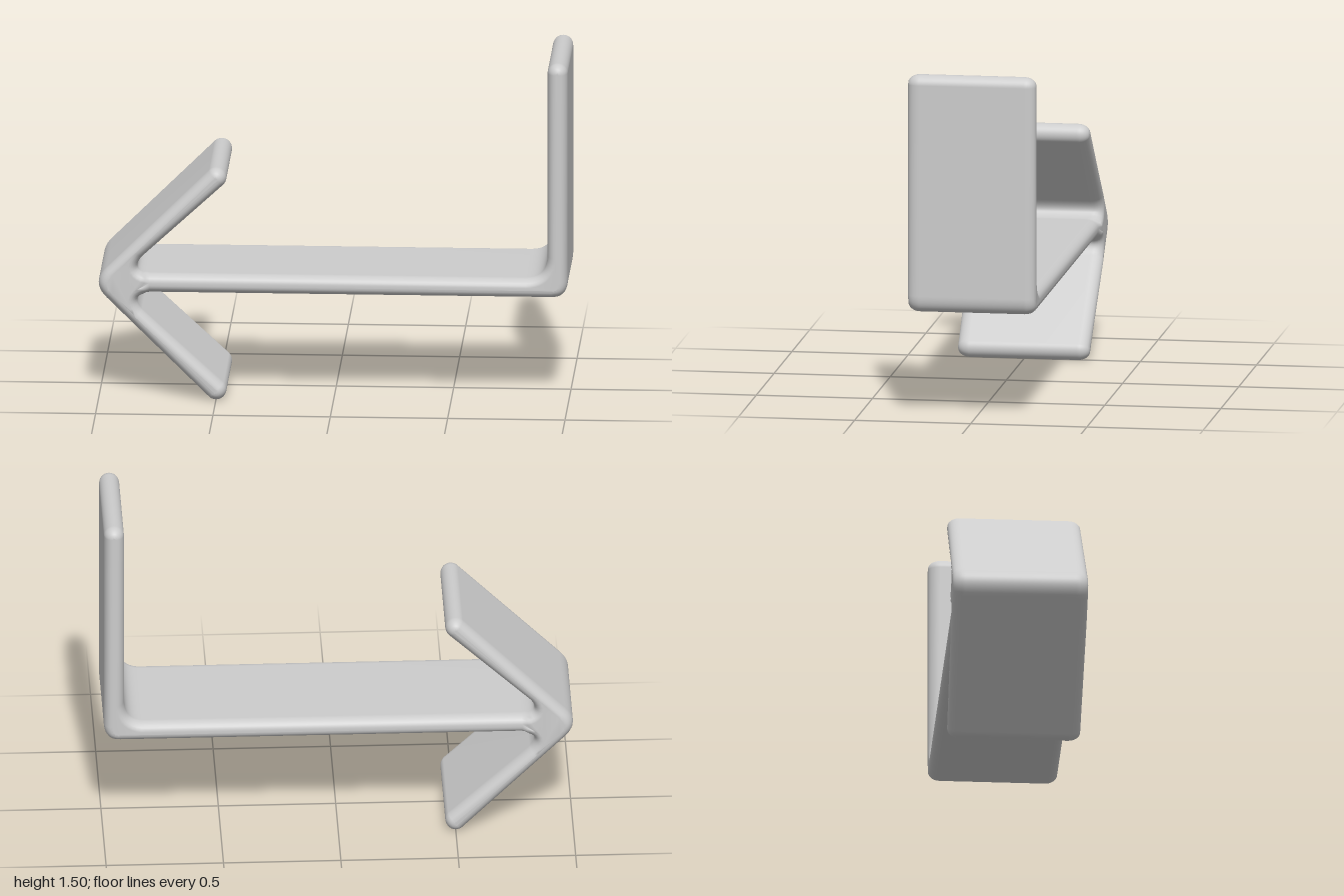
import * as THREE from 'three';
import { mergeVertices } from 'three/addons/utils/BufferGeometryUtils.js';

const AXIS = 0.513;      // height of the shaft's centre line
const HALF_DEPTH = 0.275;
const BEVEL = 0.036, BEVEL_Z = 0.05;

// Side outline, counter-clockwise: bent tail, shaft and two barbs with round ends
function arrowOutline() {
  const s = new THREE.Shape();
  const top = AXIS + 0.042, bottom = AXIS - 0.042;
  const flip = y => 2 * AXIS - y;

  // outer bend, upright tail and inner bend
  s.moveTo(0.93, bottom);
  s.quadraticCurveTo(0.997, bottom, 0.998, 0.545);
  s.absarc(0.955, 1.458, 0.043, 0, Math.PI, false);
  s.lineTo(0.912, 0.65);
  s.quadraticCurveTo(0.91, top, 0.82, top);

  // upper notch and barb
  s.lineTo(-0.78, top);
  s.quadraticCurveTo(-0.87, 0.565, -0.815, 0.63);
  s.absarc(-0.5, 0.98, 0.044, -Math.PI / 4, Math.PI * 0.75, false);

  // rounded point
  s.lineTo(-0.965, 0.58);
  s.quadraticCurveTo(-1.035, AXIS, -0.965, flip(0.58));

  // lower barb and notch
  s.absarc(-0.5, flip(0.98), 0.044, -Math.PI * 0.75, Math.PI / 4, false);
  s.lineTo(-0.815, flip(0.63));
  s.quadraticCurveTo(-0.87, flip(0.565), -0.78, bottom);
  return s;
}

export function createModel() {
  const group = new THREE.Group();
  group.name = 'bentArrow';
  const grey = new THREE.MeshStandardMaterial({ color: 0xcccccc });
  grey.name = 'light grey';

  const depth = 2 * (HALF_DEPTH - BEVEL_Z);
  let geometry = new THREE.ExtrudeGeometry(arrowOutline(), {
    depth, curveSegments: 10,
    bevelEnabled: true, bevelSize: BEVEL, bevelOffset: -BEVEL,
    bevelThickness: BEVEL_Z, bevelSegments: 6,
  });
  geometry.translate(0, 0, -depth / 2);

  // The head is slightly wider than the shaft
  const p = geometry.attributes.position;
  for (let i = 0; i < p.count; i++) {
    const x = p.getX(i), off = Math.abs(p.getY(i) - AXIS);
    if (x < -0.8) p.setZ(i, p.getZ(i) * 1.05);
    else if (x < -0.4 && off > 0.06) p.setZ(i, p.getZ(i) * 1.03);
  }

  // Weld for smooth shading
  geometry.deleteAttribute('normal');
  geometry.deleteAttribute('uv');
  geometry.clearGroups();
  geometry = mergeVertices(geometry, 1e-4);
  geometry.computeVertexNormals();

  const arrow = new THREE.Mesh(geometry, grey);
  arrow.name = 'arrowBody';
  group.add(arrow);
  return group;
}
